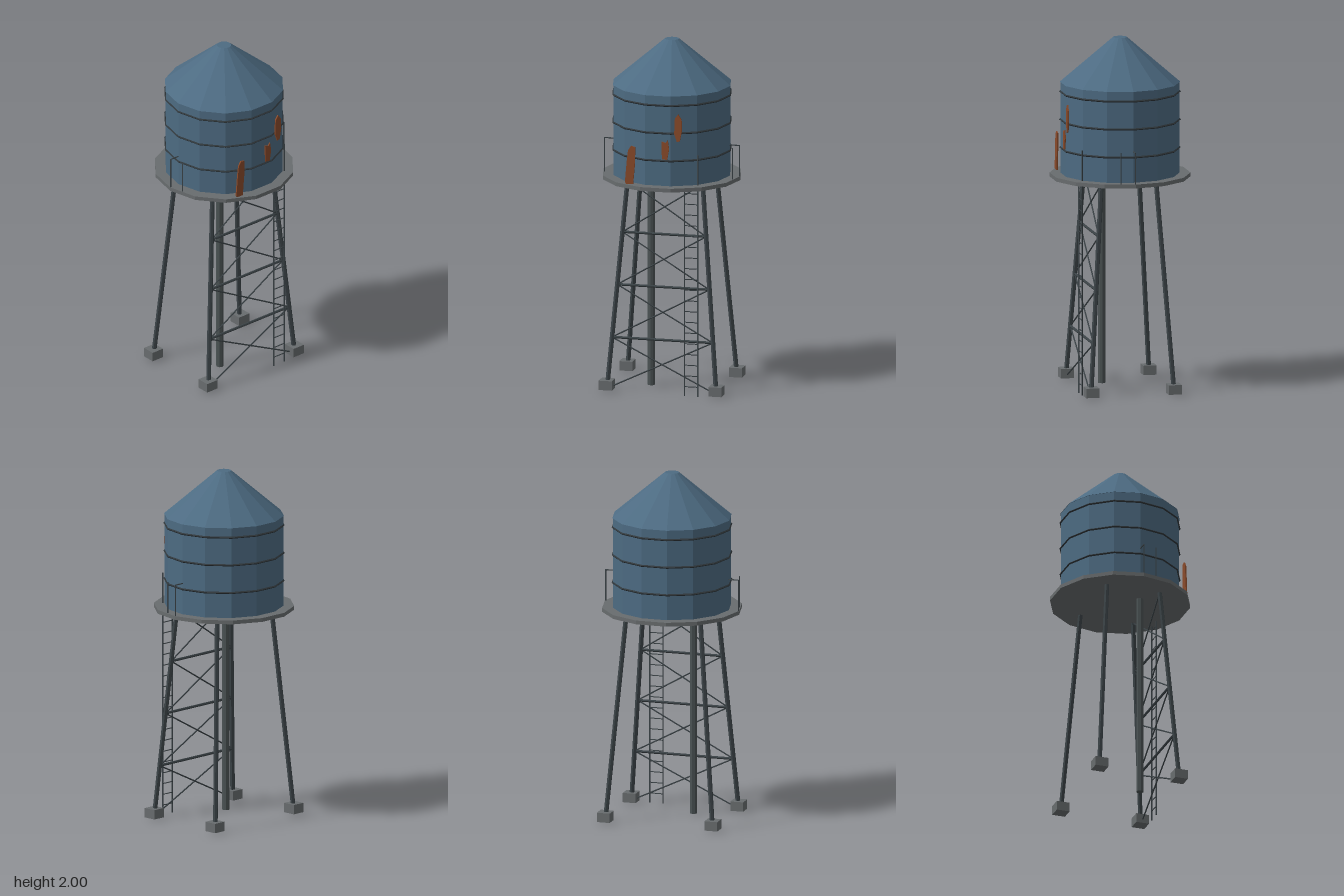
import * as THREE from 'three';

const mat = (name, color) => {
  const m = new THREE.MeshStandardMaterial({ color, flatShading: true });
  m.name = name;
  return m;
};

export function createModel() {
  const blue = mat('paintedTank', 0x4d6b82);
  const grey = mat('concrete', 0x686c6e);
  const steel = mat('darkSteel', 0x3b4347);
  const pipe = mat('pipeSteel', 0x4b5354);
  const iron = mat('hoopIron', 0x2f363a);
  const rust = mat('rust', 0x8a4a2a);

  const model = new THREE.Group();
  model.name = 'waterTower';
  const V = (x, y, z) => new THREE.Vector3(x, y, z);
  const add = (name, geo, material, parent = model) => {
    const m = new THREE.Mesh(geo, material);
    m.name = name;
    parent.add(m);
    return m;
  };
  const group = (name) => {
    const g = new THREE.Group();
    g.name = name;
    model.add(g);
    return g;
  };
  // Round bar between two points
  const bar = (name, a, b, r, sides, material, parent) => {
    const m = add(name, new THREE.CylinderGeometry(r, r, a.distanceTo(b), sides), material, parent);
    m.position.copy(a).add(b).multiplyScalar(0.5);
    m.quaternion.setFromUnitVectors(V(0, 1, 0), b.clone().sub(a).normalize());
    return m;
  };
  // Fourteen-sided drum with a corner on +x
  const drum = (name, rTop, rBottom, y0, y1, material) => {
    const g = new THREE.CylinderGeometry(rTop, rBottom, y1 - y0, 14);
    g.rotateY(Math.PI / 2);
    g.translate(0, (y0 + y1) / 2, 0);
    return add(name, g, material);
  };

  // Tank, roof and platform
  drum('platform', 0.397, 0.397, 1.203, 1.225, grey);
  drum('tank', 0.336, 0.336, 1.225, 1.745, blue);
  drum('roof', 0.04, 0.339, 1.745, 2, blue);

  // Hoops around the tank
  for (const y of [1.37, 1.53, 1.69]) {
    const hoop = new THREE.TorusGeometry(0.337, 0.006, 4, 14);
    hoop.rotateX(Math.PI / 2);
    hoop.translate(0, y, 0);
    add('hoop', hoop, iron);
  }

  // Splayed legs on footings
  const legAt = (sx, sz, y) => {
    const t = y / 1.205;
    return V(sx * (0.318 - 0.1 * t), y, sz * (0.241 - 0.083 * t));
  };
  for (const sx of [-1, 1]) {
    for (const sz of [-1, 1]) {
      bar('leg', legAt(sx, sz, 0.03), legAt(sx, sz, 1.205), 0.0135, 6, steel);
      const foot = add('footing', new THREE.BoxGeometry(0.076, 0.054, 0.076), grey);
      foot.position.set(sx * 0.318, 0.034, sz * 0.238);
    }
  }

  // Cross bracing on the front pair of legs
  const bracing = group('frontBracing');
  const tiers = [0.012, 0.305, 0.607, 0.908, 1.205];
  for (let i = 0; i < 4; i++) {
    for (const s of [-1, 1]) {
      bar('diagonalBrace', legAt(s, 1, tiers[i]), legAt(-s, 1, tiers[i + 1]), 0.0042, 5, steel, bracing);
    }
    if (i > 0) bar('crossbar', legAt(-1, 1, tiers[i]), legAt(1, 1, tiers[i]), 0.0075, 6, steel, bracing);
  }

  // Riser pipe
  bar('riserPipe', V(-0.1, 0.008, 0.082), V(-0.1, 1.205, 0.082), 0.021, 8, pipe);

  // Ladder
  const ladder = group('ladder');
  for (const x of [0.14, 0.218]) {
    bar('ladderRail', V(x, 0, 0.269), V(x, 1.4, 0.269), 0.0042, 5, steel, ladder);
  }
  for (let y = 0.055; y < 1.2; y += 0.0622) {
    bar('rung', V(0.14, y, 0.269), V(0.218, y, 0.269), 0.003, 5, steel, ladder);
  }

  // Remaining railing at both sides of the platform
  const railing = group('railing');
  for (const s of [-1, 1]) {
    bar('railPost', V(s * 0.392, 1.22, 0), V(s * 0.392, 1.405, 0), 0.0035, 5, steel, railing);
    bar('railPost', V(s * 0.372, 1.22, 0.08), V(s * 0.372, 1.405, 0.08), 0.0035, 5, steel, railing);
    bar('topRail', V(s * 0.33, 1.403, 0), V(s * 0.394, 1.403, 0), 0.0035, 5, steel, railing);
  }

  // Rust patches, thin plates across the front
  const patches = [
    [[-0.19, 1.235], [-0.182, 1.226], [-0.143, 1.226], [-0.132, 1.35], [-0.131, 1.44],
      [-0.155, 1.447], [-0.172, 1.42], [-0.18, 1.35]],
    [[0.025, 1.38], [0.055, 1.378], [0.066, 1.44], [0.058, 1.492], [0.046, 1.475], [0.022, 1.482]],
    [[0.112, 1.485], [0.128, 1.49], [0.14, 1.55], [0.138, 1.615], [0.118, 1.645], [0.1, 1.62], [0.096, 1.53]],
  ];
  for (const pts of patches) {
    const shape = new THREE.Shape(pts.map(([x, y]) => new THREE.Vector2(x, y)));
    const geo = new THREE.ExtrudeGeometry(shape, { depth: 0.008, bevelEnabled: false });
    geo.translate(0, 0, 0.326);
    add('rustPatch', geo, rust);
  }
  return model;
}
